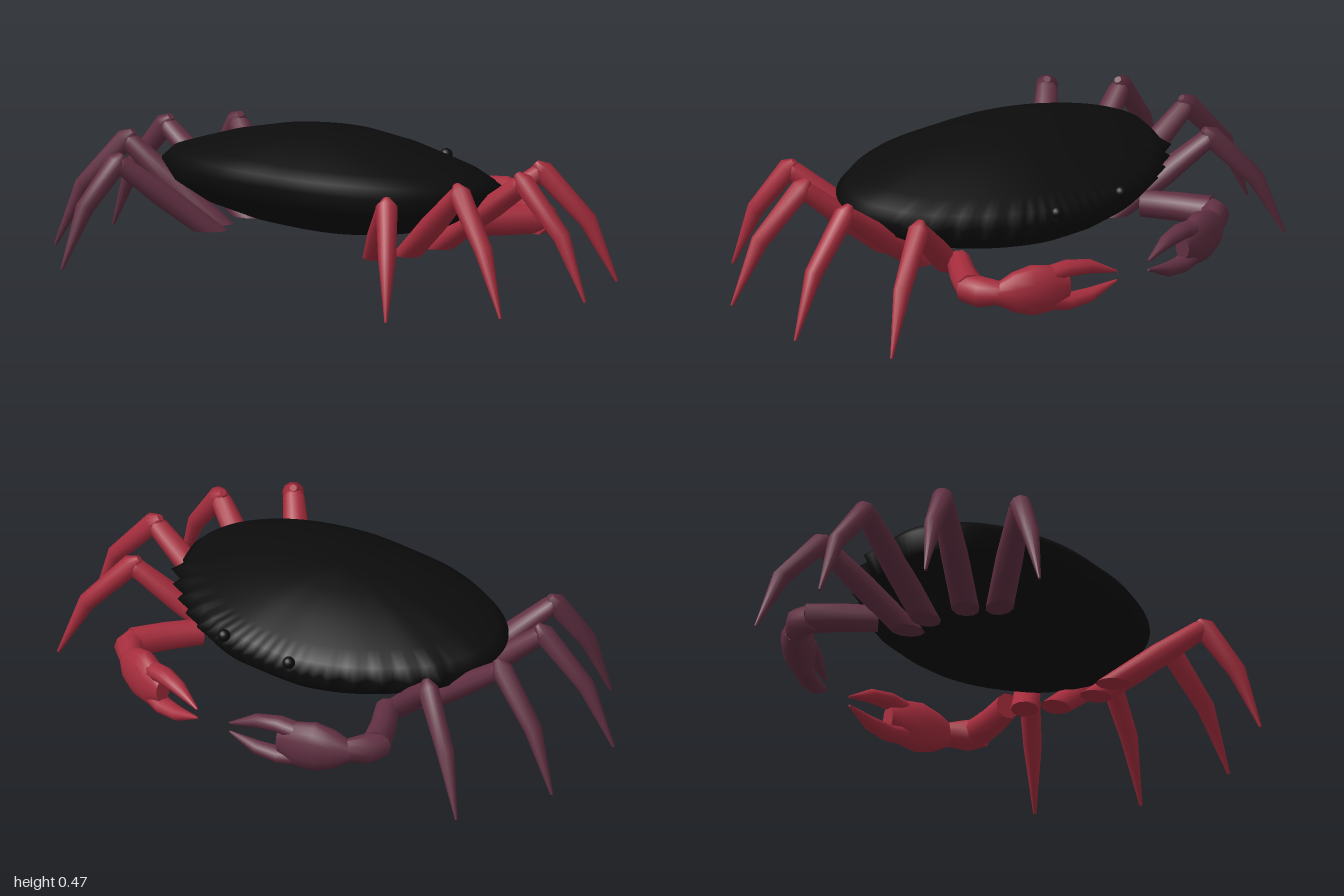
import * as THREE from 'three';

const V = (x, y, z) => new THREE.Vector3(x, y, z);

// Skins a stack of closed rings (arrays of equal length) into one surface.
function skin(rings) {
  const n = rings[0].length, pos = [], idx = [];
  rings.forEach((ring) => ring.forEach((p) => pos.push(p.x, p.y, p.z)));
  for (let j = 0; j < rings.length - 1; j++) {
    for (let i = 0; i < n; i++) {
      const a = j * n + i, b = j * n + (i + 1) % n;
      idx.push(a, b, b + n, a, b + n, a + n);
    }
  }
  const g = new THREE.BufferGeometry();
  g.setAttribute('position', new THREE.Float32BufferAttribute(pos, 3));
  g.setIndex(idx);
  g.computeVertexNormals();
  return g;
}

// Limb through sections [x, y, z, width radius, height radius]; flatStart cuts the first end level.
function limb(sections, flatStart = false, n = 10) {
  const c = sections.map((s) => V(s[0], s[1], s[2]));
  const last = c.length - 1;
  const rings = sections.map((s, k) => {
    const t = c[Math.min(k + 1, last)].clone().sub(c[Math.max(k - 1, 0)]).normalize();
    const side = t.clone().cross(V(0, 1, 0)).normalize();
    let up = t.clone().cross(side);
    if (flatStart && k === 0) {
      const slope = Math.abs(t.y);
      up = V(up.x, 0, up.z).normalize().multiplyScalar(1 / Math.max(slope, 0.5));
    }
    return Array.from({ length: n }, (_, i) => {
      const a = (i / n) * Math.PI * 2;
      return c[k].clone()
        .addScaledVector(side, Math.cos(a) * s[3])
        .addScaledVector(up, Math.sin(a) * (s[4] ?? s[3]));
    });
  });
  const point = (p) => Array.from({ length: n }, () => p);
  return skin([point(c[0]), rings[0], ...rings, rings[last], point(c[last])]);
}

// Domed shell, with a saw-toothed rim along the front and flanks.
function shellGeometry() {
  const half = [[0.2, 0.405], [0.4, 0.345], [0.53, 0.26], [0.605, 0.16], [0.63, 0.05],
    [0.595, -0.06], [0.56, -0.13], [0.47, -0.22], [0.37, -0.295], [0.25, -0.355], [0.13, -0.39]];
  const pts = [[0, 0.415], ...half, [0, -0.395], ...half.slice().reverse().map(([x, z]) => [-x, z])];
  const curve = new THREE.CatmullRomCurve3(pts.map(([x, z]) => V(x, 0, z)), true);
  const N = 144, cz = 0.03;
  const outline = curve.getSpacedPoints(N).slice(0, N);
  const layers = [[0, 0.13], [0.3, 0.138], [0.52, 0.16], [0.76, 0.2], [0.93, 0.255], [1, 0.315],
    [0.94, 0.35], [0.8, 0.38], [0.6, 0.42], [0.32, 0.46], [0, 0.465]];
  return skin(layers.map(([s, y]) => outline.map((p, i) => {
    let k = s;
    if (s === 1 && p.z < -0.08) {
      const m = Math.min(i, N - i);
      k += Math.abs(p.x) < 0.25 ? (m % 2 ? -0.02 : 0.03) : [0.045, 0.01, -0.02, 0.015][m % 4];
    }
    return V(p.x * k, y + 0.05 * s * p.z, cz + (p.z - cz) * k);
  })));
}

export function createModel() {
  const mat = (name, color) => new THREE.MeshStandardMaterial({ name, color });
  const black = mat('shell black', 0x0c0c0c);
  const red = mat('limb red', 0xa62d3d);
  const plum = mat('limb plum', 0x613042);

  const model = new THREE.Group();
  model.name = 'crab';
  const add = (parent, name, geometry, material) => {
    const m = new THREE.Mesh(geometry, material);
    m.name = name;
    parent.add(m);
    return m;
  };

  add(model, 'shell', shellGeometry(), black);

  // Each walking leg: base, knee, shin bend, tip
  const legs = [
    [[0.35, 0.115, 0.24], [0.565, 0.35, 0.455], [0.635, 0.2, 0.54], [0.68, 0, 0.603]],
    [[0.40, 0.115, 0.14], [0.70, 0.375, 0.24], [0.84, 0.21, 0.29], [0.935, 0, 0.32]],
    [[0.40, 0.115, -0.015], [0.75, 0.375, -0.03], [0.90, 0.21, -0.045], [0.99, 0, -0.055]],
    [[0.36, 0.115, -0.11], [0.64, 0.36, -0.27], [0.775, 0.2, -0.34], [0.86, 0, -0.385]],
  ];

  for (const s of [1, -1]) {
    const side = s > 0 ? 'left' : 'right';
    const skinMat = s > 0 ? red : plum;
    const mirrored = (sections) => sections.map(([x, ...rest]) => [x * s, ...rest]);

    // Stalked eye
    const eye = add(model, side + 'Eye', new THREE.SphereGeometry(0.021, 16, 12), black);
    eye.position.set(0.14 * s, 0.328, -0.39);

    // Walking legs
    legs.forEach(([base, knee, bend, tip], i) => {
      const leg = new THREE.Group();
      leg.name = `${side}Leg${i + 1}`;
      model.add(leg);
      const at = (k) => base.map((b, j) => b + (knee[j] - b) * k);
      add(leg, 'thigh', limb(mirrored([
        [...base, 0.046, 0.036], [...at(0.5), 0.046, 0.04], [...at(0.95), 0.036, 0.032], [...at(1.04), 0.02],
      ]), true), skinMat);
      const back = knee.map((v, j) => v - (bend[j] - v) * 0.16);
      add(leg, 'shin', limb(mirrored([
        [...back, 0.012], [...knee, 0.036], [...bend, 0.03], [...tip, 0.005],
      ])), skinMat);
    });

    // Claw arm, folded inwards in front of the shell
    const claw = new THREE.Group();
    claw.name = side + 'Claw';
    model.add(claw);
    add(claw, 'upperArm', limb(mirrored([
      [0.40, 0.165, -0.20, 0.04, 0.045], [0.47, 0.165, -0.30, 0.045, 0.048], [0.525, 0.165, -0.40, 0.05, 0.05],
    ])), skinMat);
    add(claw, 'forearm', limb(mirrored([
      [0.53, 0.16, -0.37, 0.042, 0.046], [0.515, 0.16, -0.43, 0.05, 0.052], [0.455, 0.157, -0.495, 0.03, 0.036],
    ])), skinMat);
    add(claw, 'palm', limb(mirrored([
      [0.485, 0.155, -0.475, 0.028, 0.034], [0.43, 0.155, -0.5, 0.05, 0.068], [0.37, 0.155, -0.525, 0.055, 0.087],
      [0.31, 0.155, -0.55, 0.046, 0.08], [0.25, 0.155, -0.57, 0.025, 0.04],
    ]), false, 16), skinMat);
    // Upper and lower pincers, curving together at the tips
    for (const u of [1, -1]) {
      add(claw, u > 0 ? 'upperPincer' : 'lowerPincer', limb(mirrored([
        [0.32, 0.155 + 0.045 * u, -0.545, 0.034, 0.03], [0.25, 0.155 + 0.058 * u, -0.565, 0.034, 0.028],
        [0.17, 0.155 + 0.05 * u, -0.585, 0.026, 0.024], [0.07, 0.152 + 0.016 * u, -0.606, 0.004, 0.004],
      ])), skinMat);
    }
  }
  return model;
}
